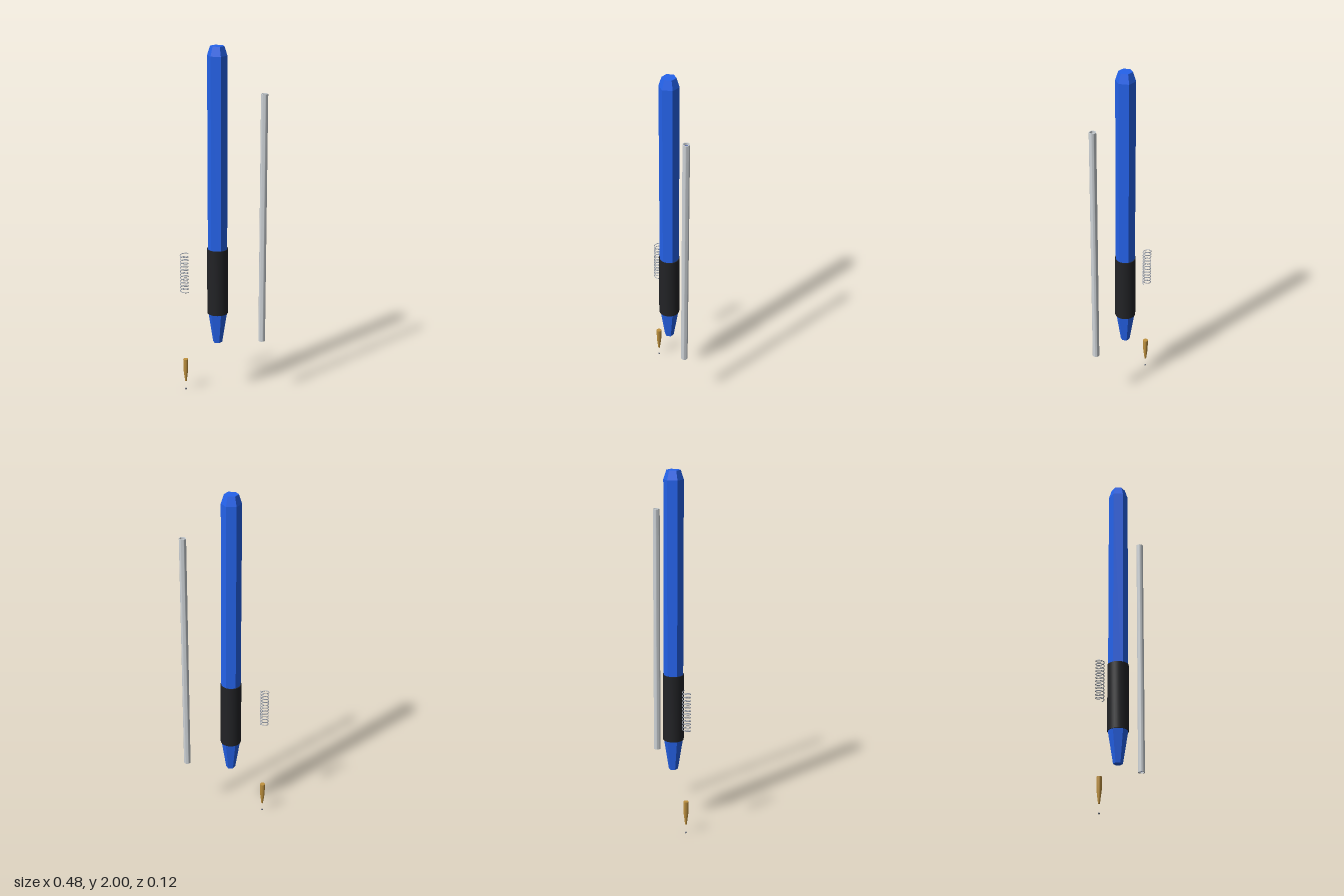
import * as THREE from 'three';
import { toCreasedNormals } from 'three/addons/utils/BufferGeometryUtils.js';

const PEN_X = -0.03, REFILL_X = 0.222, NIB_X = -0.217;

function part(name, geometry, color, x, flatShading = false) {
  const material = new THREE.MeshStandardMaterial({ color, flatShading });
  const mesh = new THREE.Mesh(geometry, material);
  mesh.name = name;
  mesh.position.x = x;
  return mesh;
}

// Revolves [radius, y] points, listed from bottom to top on the outside
function turned(points, sides, start = 0) {
  const profile = points.map(([r, y]) => new THREE.Vector2(r, y));
  return new THREE.LatheGeometry(profile, sides, start);
}

const smoothTurned = (points, sides) => toCreasedNormals(turned(points, sides), 0.6);

// Open-ended pipe with wall thickness
function pipe(outer, inner, y0, y1) {
  return smoothTurned([[inner, y0], [outer, y0], [outer, y1], [inner, y1], [inner, y0]], 32);
}

class Helix extends THREE.Curve {
  constructor(radius, y0, y1, turns) {
    super();
    Object.assign(this, { radius, y0, y1, turns });
  }
  getPoint(t, target = new THREE.Vector3()) {
    const a = t * this.turns * Math.PI * 2;
    return target.set(
      Math.cos(a) * this.radius,
      this.y0 + (this.y1 - this.y0) * t,
      Math.sin(a) * this.radius
    );
  }
}

export function createModel() {
  const model = new THREE.Group();
  model.name = 'explodedPen';

  // Hexagonal barrel with tapered nose and chamfered end
  const barrel = turned(
    [[0, 0.318], [0.026, 0.318], [0.0543, 0.5], [0.0543, 1.95], [0.038, 2], [0, 2]],
    6, Math.PI / 2
  );
  model.add(part('barrel', barrel, 0x2563eb, PEN_X, true));

  // Round sleeve around the barrel
  model.add(part('grip', pipe(0.058, 0.0535, 0.498, 0.88), 0x222326, PEN_X));

  // Refill tube with its ink column
  model.add(part('refillTube', pipe(0.019, 0.0145, 0.343, 1.755), 0xcfd4d8, REFILL_X));
  const ink = new THREE.CylinderGeometry(0.0145, 0.0145, 1.39, 24);
  ink.translate(0, 1.045, 0);
  model.add(part('ink', ink, 0x1e40af, REFILL_X));

  // Coil spring
  const coil = new Helix(0.0225, 0.608, 0.838, 12);
  model.add(part('spring', new THREE.TubeGeometry(coil, 360, 0.0022, 8), 0x9ca3af, -0.219));

  // Brass nib and its writing ball
  const nib = smoothTurned(
    [[0, 0.055], [0.005, 0.055], [0.0065, 0.068], [0.0135, 0.125], [0.0143, 0.194], [0, 0.194]], 24
  );
  model.add(part('nib', nib, 0xc0923f, NIB_X));
  const ball = new THREE.SphereGeometry(0.005, 16, 12);
  ball.translate(0, 0.005, 0);
  model.add(part('ball', ball, 0x6b7280, NIB_X));

  return model;
}
